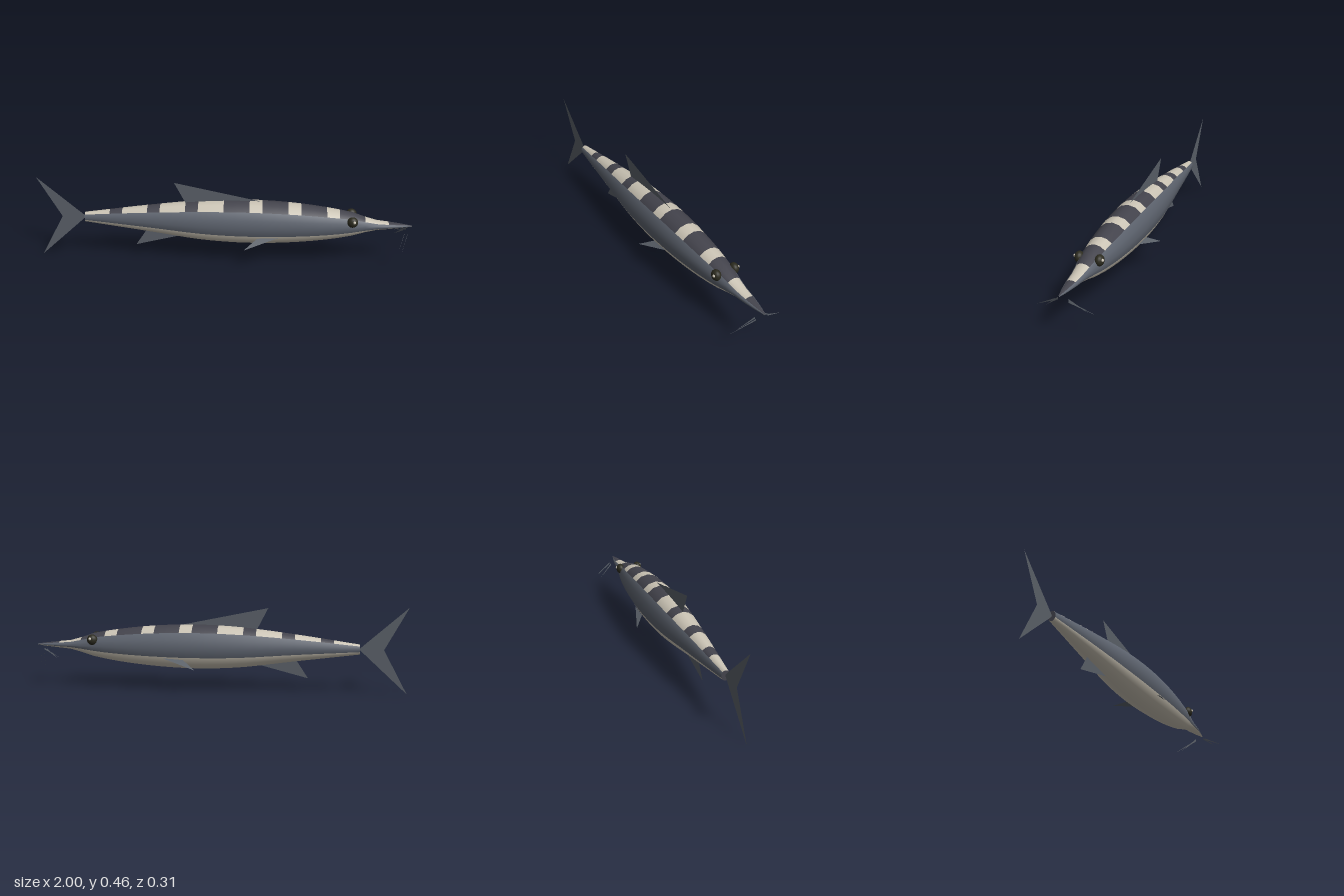
import * as THREE from 'three';

const mat = (name, color, side = THREE.FrontSide) => {
  const m = new THREE.MeshStandardMaterial({ color, side });
  m.name = name;
  return m;
};

export function createModel() {
  const dark = mat('dark stripe', 0x43434c);
  const cream = mat('cream', 0xcbc4b5);
  const flank = mat('grey flank', 0x5c626d);
  const finMat = mat('fin grey', 0x5a6068, THREE.DoubleSide);
  const eyeMat = mat('eye black', 0x2b2a1e);

  const model = new THREE.Group();
  model.name = 'fish';
  const add = (name, geometry, material) => {
    const mesh = new THREE.Mesh(geometry, material);
    mesh.name = name;
    model.add(mesh);
    return mesh;
  };

  // Body profile: top, bottom and half width along x
  const keys = [-0.75, -0.4, -0.1, 0.15, 0.4, 0.6, 0.7, 0.76, 0.82, 0.9, 1.0];
  const sizes = [
    0.262, 0.208, 0.022,
    0.311, 0.162, 0.062,
    0.344, 0.122, 0.092,
    0.352, 0.112, 0.1,
    0.338, 0.125, 0.092,
    0.311, 0.151, 0.073,
    0.291, 0.172, 0.057,
    0.268, 0.192, 0.045,
    0.252, 0.207, 0.036,
    0.244, 0.213, 0.026,
    0.23, 0.224, 0.003,
  ];
  const profile = new THREE.CubicInterpolant(keys, sizes, 3);

  // Loft 16-sided rings; the back follows a stripe pattern from tail to snout
  const stripes = 'ccdccdccdccddcddcddcddccdd';
  const sides = 16, rings = stripes.length;
  const positions = [];
  for (let i = 0; i <= rings; i++) {
    const x = i <= 22 ? -0.75 + (i * 1.5) / 22 : 0.75 + ((i - 22) * 0.25) / 4;
    const [top, bottom, w] = profile.evaluate(x);
    for (let j = 0; j < sides; j++) {
      const a = (j / sides) * Math.PI * 2;
      positions.push(x, (top + bottom) / 2 + ((top - bottom) / 2) * Math.cos(a), w * Math.sin(a));
    }
  }
  const faces = [[], [], []]; // dark, cream, flank
  for (let i = 0; i < rings; i++) {
    for (let j = 0; j < sides; j++) {
      const fromTop = Math.min(j, sides - 1 - j);
      const slot = fromTop < 2 ? (stripes[i] === 'd' ? 0 : 1) : fromTop < 5 ? 2 : 1;
      const a = i * sides + j, b = i * sides + ((j + 1) % sides);
      faces[slot].push(a, b, a + sides, b, b + sides, a + sides);
    }
  }
  const body = new THREE.BufferGeometry();
  body.setAttribute('position', new THREE.Float32BufferAttribute(positions, 3));
  body.setIndex(faces.flat());
  let start = 0;
  faces.forEach((f, slot) => {
    body.addGroup(start, f.length, slot);
    start += f.length;
  });
  body.computeVertexNormals();
  add('body', body, [dark, cream, flank]);

  // Closed tail stump
  const stump = add('tailStump', new THREE.CircleGeometry(1, sides), dark);
  stump.scale.set(0.022, 0.027, 1);
  stump.rotation.y = -Math.PI / 2;
  stump.position.set(-0.75, 0.235, 0);

  // Flat fins on the centre plane
  const flatFin = (name, points) =>
    add(name, new THREE.ShapeGeometry(new THREE.Shape(points.map(p => new THREE.Vector2(...p)))), finMat);
  flatFin('dorsalFin', [[0.22, 0.345], [-0.265, 0.447], [-0.2, 0.32]]);
  flatFin('analFin', [[-0.18, 0.15], [-0.48, 0.073], [-0.41, 0.18]]);
  flatFin('tailFin', [[-0.745, 0.236], [-1, 0.462], [-0.875, 0.234], [-1, 0]]);

  // Single thin triangle given by three corners
  const triangle = (name, corners) => {
    const g = new THREE.BufferGeometry();
    g.setAttribute('position', new THREE.Float32BufferAttribute(corners.flat(), 3));
    g.computeVertexNormals();
    return add(name, g, finMat);
  };

  // Paired parts
  for (const s of [1, -1]) {
    const side = s > 0 ? 'Near' : 'Far';
    triangle('pectoralFin' + side, [[0.29, 0.181, 0.09 * s], [0.11, 0.13, 0.144 * s], [0.18, 0.174, 0.09 * s]]);
    triangle('outerBarbel' + side, [[0.975, 0.2, 0.033 * s], [0.975, 0.19, 0.033 * s], [0.93, 0.123, 0.153 * s]]);
    triangle('innerBarbel' + side, [[0.96, 0.2, 0.026 * s], [0.96, 0.188, 0.026 * s], [0.925, 0.126, 0.107 * s]]);

    const eye = add('eye' + side, new THREE.SphereGeometry(0.029, 16, 12), eyeMat);
    eye.scale.z = 0.8;
    eye.position.set(0.68, 0.266, 0.052 * s);
    const glint = add('eyeGlint' + side, new THREE.SphereGeometry(0.008, 10, 8), cream);
    glint.position.set(0.688, 0.273, 0.071 * s);
  }
  return model;
}
